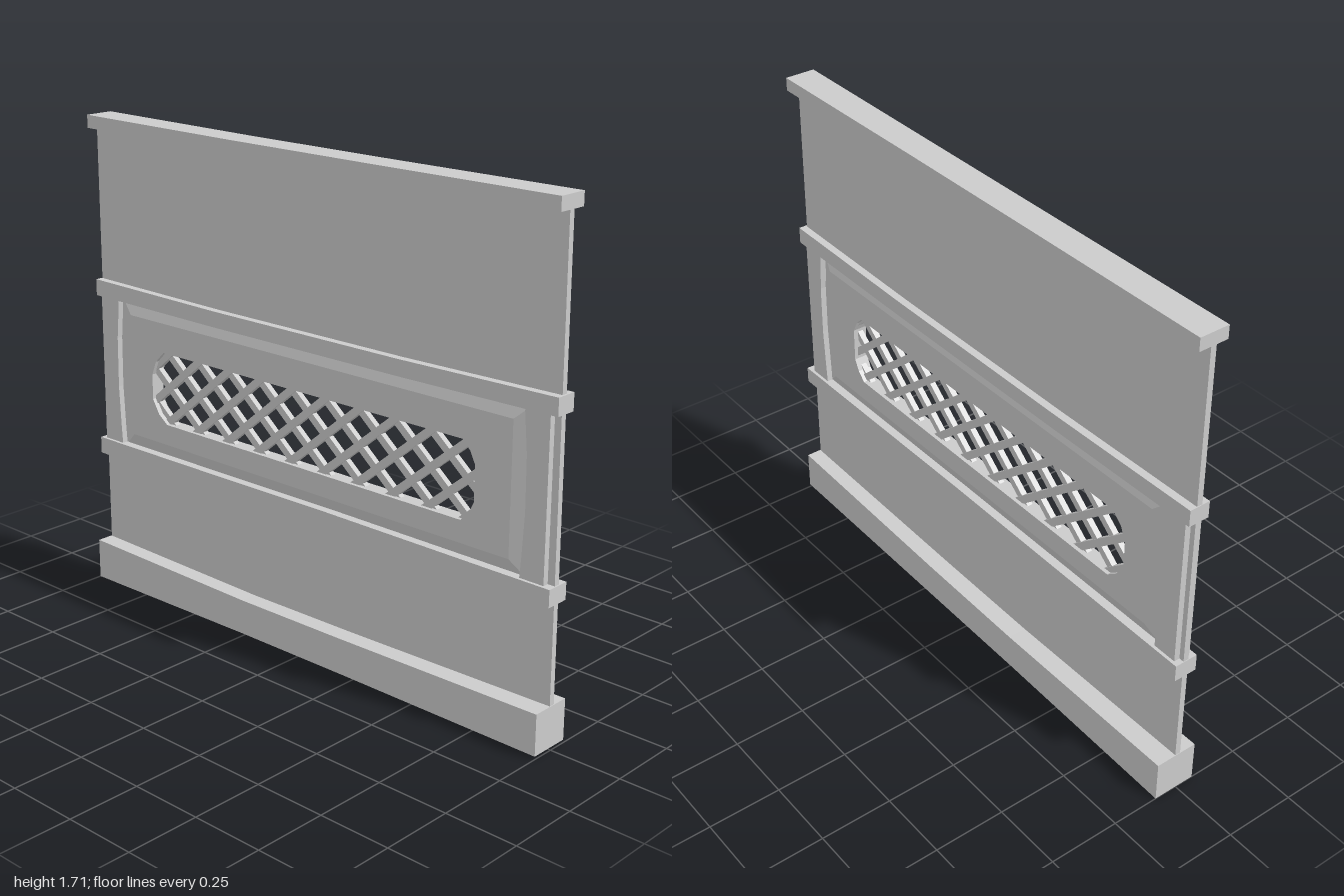
import * as THREE from 'three';

const material = new THREE.MeshStandardMaterial({ color: 0xcccccc, flatShading: true, side: THREE.DoubleSide });

function add(group, name, geometry) {
  const mesh = new THREE.Mesh(geometry, material);
  mesh.name = name;
  group.add(mesh);
  return mesh;
}

// Long beam lofted through stations [x, bottom, top, back, front]
function beam(stations) {
  const g = new THREE.BoxGeometry(2, 1, 1, stations.length - 1, 1, 1);
  const p = g.attributes.position;
  for (let i = 0; i < p.count; i++) {
    const s = stations[Math.round((p.getX(i) + 1) / 2 * (stations.length - 1))];
    p.setXYZ(i, s[0], p.getY(i) < 0 ? s[1] : s[2], p.getZ(i) < 0 ? s[3] : s[4]);
  }
  return g;
}

// Flat plate centred on z = 0
function plate(points, halfDepth, hole) {
  const shape = new THREE.Shape(points.map(([x, y]) => new THREE.Vector2(x, y)));
  if (hole) shape.holes.push(new THREE.Path(hole.map(([x, y]) => new THREE.Vector2(x, y))));
  const g = new THREE.ExtrudeGeometry(shape, { depth: halfDepth * 2, bevelEnabled: false });
  return g.translate(0, 0, -halfDepth);
}

const rect = (x, y0, y1) => [[-x, y0], [x, y0], [x, y1], [-x, y1]];

export function createModel() {
  const model = new THREE.Group();
  model.name = 'partitionWall';

  // Window opening with clipped corners
  const opening = [
    [-0.73, 0.74], [-0.70, 0.69], [-0.66, 0.66], [0.65, 0.66], [0.68, 0.69], [0.70, 0.73],
    [0.70, 0.85], [0.68, 0.89], [0.65, 0.92], [-0.67, 0.92], [-0.71, 0.88], [-0.73, 0.83],
  ];

  // Thin wall and the raised panel around the opening
  add(model, 'wallPanel', plate([[-0.998, 0.06], [0.998, 0.06], [0.99, 1.69], [-0.998, 1.69]], 0.01, opening));
  const raise = 0.025;
  const outer = rect(0.885, 0.54, 1.07), inner = rect(0.835, 0.585, 1.025);
  add(model, 'raisedPanel', plate(inner, raise, opening));

  // Sloping border of the raised panel, front and back
  const slope = [];
  for (let i = 0; i < 4; i++) {
    const j = (i + 1) % 4;
    const [a, b] = [outer[i], outer[j]].map(c => [...c, 0.01]);
    const [c, d] = [inner[j], inner[i]].map(q => [...q, raise]);
    slope.push(...a, ...b, ...c, ...a, ...c, ...d);
  }
  const border = new THREE.BufferGeometry();
  border.setAttribute('position', new THREE.Float32BufferAttribute(slope, 3));
  border.computeVertexNormals();
  add(model, 'panelBorderFront', border);
  add(model, 'panelBorderBack', border).rotation.y = Math.PI;

  // Upright stiles with a slightly bowed inner edge
  for (const [name, side, edge] of [['leftStile', 1, 0.97], ['rightStile', -1, 0.98]]) {
    const inX = edge - 0.09;
    const pts = [[edge, 0.52], [edge, 1.09], [inX, 1.09], [inX, 1.06], [inX + 0.012, 0.93],
      [inX + 0.014, 0.75], [inX + 0.006, 0.6], [inX, 0.52]];
    add(model, name, plate(pts.map(([x, y]) => [x * side, y]), 0.031));
  }

  // Horizontal rails and base, each a little uneven along its length
  add(model, 'topRail', beam([
    [-1, 1.665, 1.71, -0.055, 0.05], [-0.3, 1.66, 1.706, -0.05, 0.053],
    [0.3, 1.66, 1.705, -0.05, 0.053], [0.99, 1.66, 1.705, -0.055, 0.052]]));
  add(model, 'upperRail', beam([
    [-1, 1.07, 1.128, -0.037, 0.037], [-0.4, 1.065, 1.12, -0.037, 0.037],
    [0.4, 1.065, 1.12, -0.037, 0.037], [1, 1.07, 1.128, -0.037, 0.037]]));
  add(model, 'lowerRail', beam([
    [-1, 0.48, 0.54, -0.042, 0.042], [-0.4, 0.485, 0.542, -0.042, 0.042],
    [0.1, 0.484, 0.545, -0.042, 0.042], [1, 0.482, 0.54, -0.042, 0.042]]));
  add(model, 'base', beam([
    [-1, 0, 0.145, -0.083, 0.07], [-0.25, 0.008, 0.132, -0.076, 0.07],
    [0.2, 0.01, 0.136, -0.073, 0.073], [1, 0.01, 0.15, -0.065, 0.08]]));

  // Diagonal lattice; bar ends are buried in the raised panel
  const lattice = new THREE.Group();
  lattice.name = 'lattice';
  model.add(lattice);
  const stepX = 0.147, stepY = 0.122, midY = 0.79, reach = 0.145;
  for (const dir of [1, -1]) {
    for (let k = -7; k < 7; k++) {
      const cx = (k + 0.5) * stepX, run = stepX / stepY;
      const x0 = Math.max(cx - reach * run, -0.76), x1 = Math.min(cx + reach * run, 0.73);
      if (x1 - x0 < 0.03) continue;
      const mx = (x0 + x1) / 2;
      const bar = add(lattice, 'latticeBar',
        new THREE.BoxGeometry((x1 - x0) * Math.hypot(1, 1 / run), 0.026, 0.02));
      bar.position.set(mx, midY + dir * (mx - cx) / run, dir * 0.002);
      bar.rotation.z = dir * Math.atan(1 / run);
    }
  }
  return model;
}
